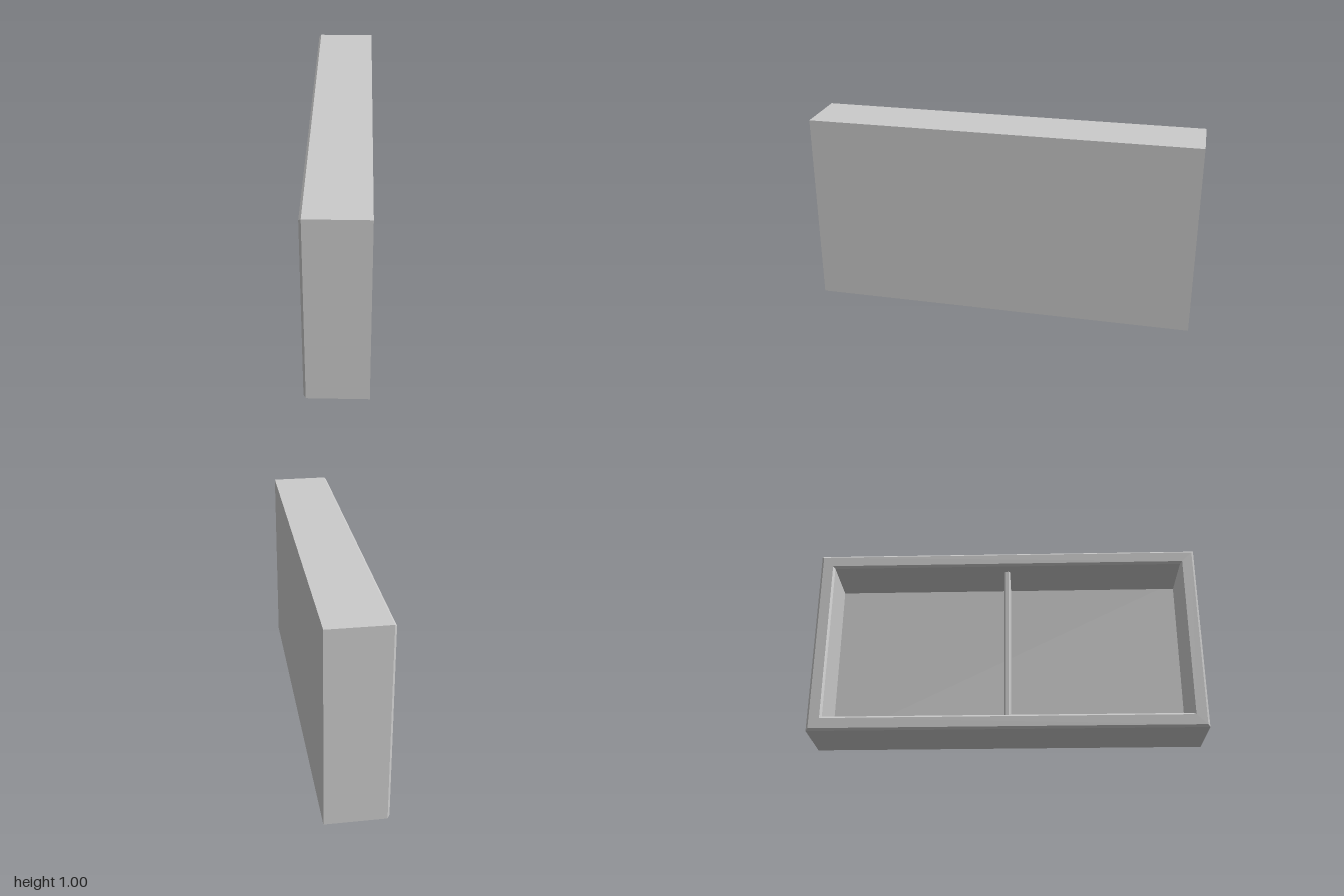
import * as THREE from 'three';

const HALF_DEPTH = 0.155, PANEL_FACE = 0.132, WALL = 0.075, BEVEL = 0.011;

// Sweeps a closed [inset, x] profile around the rectangle y 0..1, z -1..1
function mitredFrame(profile) {
  const point = ([inset, x], k) => [
    x,
    k === 0 || k === 3 ? inset : 1 - inset,
    k < 2 ? inset - 1 : 1 - inset,
  ];
  const positions = [];
  profile.forEach((p, j) => {
    const q = profile[(j + 1) % profile.length];
    for (let k = 0; k < 4; k++) {
      const n = (k + 1) % 4;
      const a = point(p, k), b = point(p, n), c = point(q, n), d = point(q, k);
      positions.push(...a, ...c, ...b, ...a, ...d, ...c);
    }
  });
  const geometry = new THREE.BufferGeometry();
  geometry.setAttribute('position', new THREE.Float32BufferAttribute(positions, 3));
  geometry.computeVertexNormals();
  return geometry;
}

export function createModel() {
  const group = new THREE.Group();
  group.name = 'dividedTray';
  const material = new THREE.MeshStandardMaterial({ color: 0xcccccc, flatShading: true });
  const add = (name, geometry) => {
    const mesh = new THREE.Mesh(geometry, material);
    mesh.name = name;
    group.add(mesh);
    return mesh;
  };

  // Four walls with bevelled edges around the open side
  add('frame', mitredFrame([
    [0, PANEL_FACE],
    [0, BEVEL - HALF_DEPTH],
    [BEVEL, -HALF_DEPTH],
    [WALL - BEVEL, -HALF_DEPTH],
    [WALL, BEVEL - HALF_DEPTH],
    [WALL, PANEL_FACE],
  ]));

  // Closed side
  const thickness = HALF_DEPTH - PANEL_FACE;
  add('panel', new THREE.BoxGeometry(thickness, 1, 2))
    .position.set(PANEL_FACE + thickness / 2, 0.5, 0);

  // Upright partition, set back from the opening, with a bevelled leading edge
  const half = 0.017, cut = 0.008, front = -0.087;
  const section = new THREE.Shape([
    [PANEL_FACE, -half], [PANEL_FACE, half], [front + cut, half],
    [front, half - cut], [front, cut - half], [front + cut, -half],
  ].map(([x, z]) => new THREE.Vector2(x, z)));
  const divider = new THREE.ExtrudeGeometry(section, { depth: 1 - 2 * WALL, bevelEnabled: false });
  divider.rotateX(-Math.PI / 2);
  add('divider', divider).position.y = WALL;

  return group;
}
